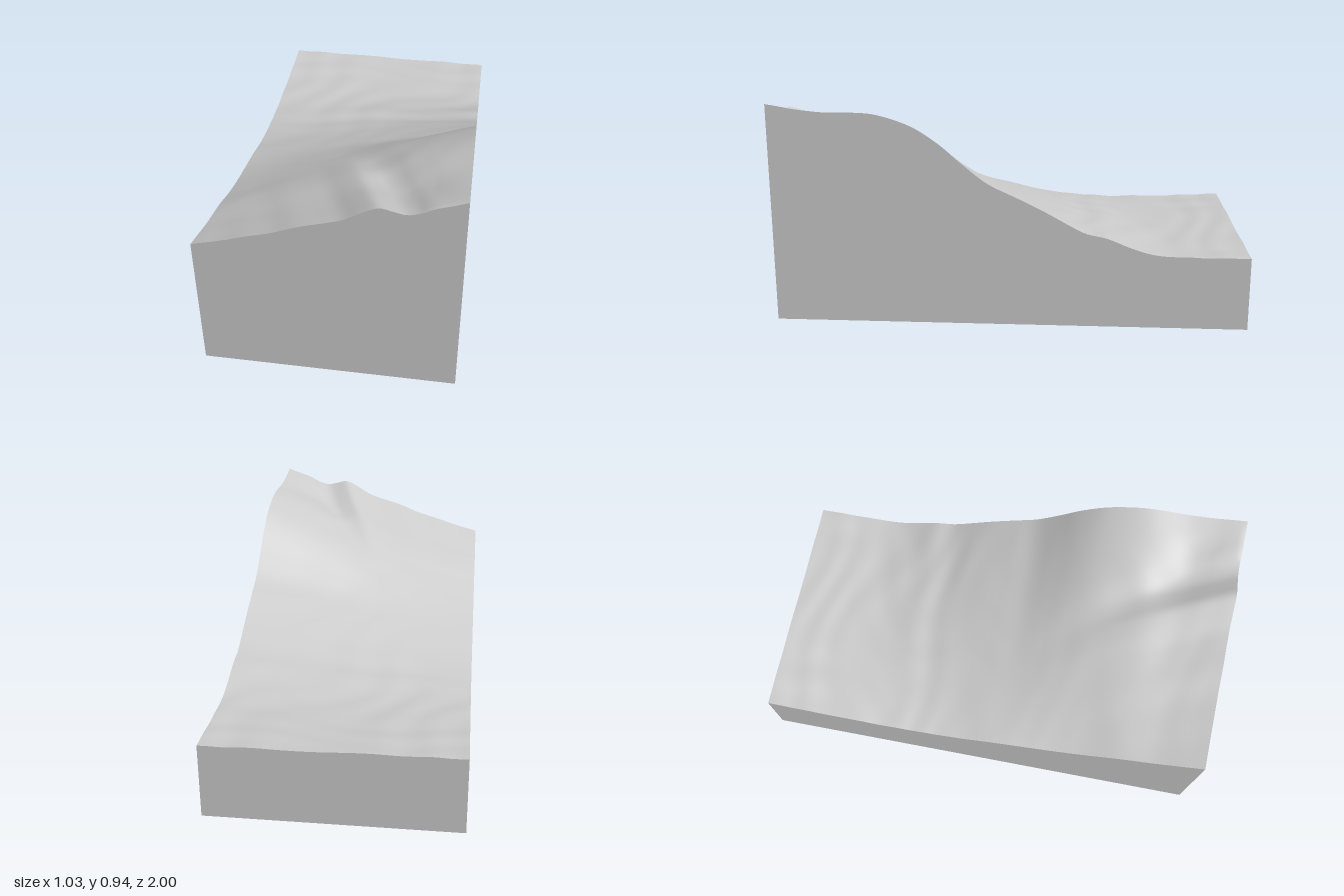
import * as THREE from 'three';

const W = 1.034, D = 2;

// Smooth height along an edge through [position, height] points (cubic Hermite)
function profile(pts) {
  const slope = i => {
    const a = pts[Math.max(i - 1, 0)], b = pts[Math.min(i + 1, pts.length - 1)];
    return (b[1] - a[1]) / (b[0] - a[0]);
  };
  return p => {
    let i = 0;
    while (i < pts.length - 2 && p > pts[i + 1][0]) i++;
    const [p0, h0] = pts[i], [p1, h1] = pts[i + 1];
    const d = p1 - p0, t = THREE.MathUtils.clamp((p - p0) / d, 0, 1);
    const t2 = t * t, t3 = t2 * t;
    return h0 * (2 * t3 - 3 * t2 + 1) + slope(i) * d * (t3 - 2 * t2 + t)
      + h1 * (3 * t2 - 2 * t3) + slope(i + 1) * d * (t3 - t2);
  };
}

// Slope along the high side (+x) and the low side (-x), running back to front
const highSide = profile([[-1, 0.312], [-0.7, 0.312], [-0.6, 0.324], [-0.5, 0.35], [-0.4, 0.388],
  [-0.3, 0.415], [-0.2, 0.47], [-0.1, 0.522], [0, 0.57], [0.1, 0.62], [0.2, 0.7], [0.3, 0.785],
  [0.4, 0.848], [0.5, 0.885], [0.6, 0.902], [0.8, 0.906], [1, 0.935]]);
const lowSide = profile([[-1, 0.32], [-0.6, 0.303], [-0.33, 0.305], [-0.12, 0.326], [0.09, 0.373],
  [0.33, 0.42], [0.47, 0.455], [0.63, 0.51], [0.79, 0.55], [1, 0.615]]);

// Knoll and dip of the front edge, measured from its straight line
const knoll = profile([[-0.52, 0], [-0.4, -0.004], [-0.3, -0.003], [-0.2, -0.003], [-0.1, 0.007],
  [0, 0.006], [0.07, 0.008], [0.14, 0.028], [0.2, 0.037], [0.25, 0.012], [0.3, -0.013],
  [0.35, -0.016], [0.4, -0.006], [0.46, -0.003], [0.52, 0]]);

// Course of the shallow gully: [x, z, depth]
const gully = [[0.42, 0.84, 0.006], [0.31, 0.8, 0.012], [0.21, 0.7, 0.014], [0.12, 0.55, 0.013],
  [0.03, 0.42, 0.009], [-0.03, 0.3, 0.007]];

function height(x, z) {
  const t = x / W + 0.5;
  let h = THREE.MathUtils.lerp(lowSide(z), highSide(z), t);
  // the knoll drifts sideways and fades up to mid slope
  const fade = THREE.MathUtils.smoothstep(z, 0.25, 1);
  h += knoll(x + 0.35 * (1 - z)) * fade * (z < 1 ? Math.min(1, (1 - t) * 6) : 1);
  const inside = Math.min(1, (1 - t) * 8, t * 8, (1 - z) * 8);
  for (const [gx, gz, depth] of gully) {
    h -= inside * depth * Math.exp(-((x - gx) ** 2 + (z - gz) ** 2) / 0.008);
  }
  // fine oblique ripples, strongest on the low ground
  const low = 1 - THREE.MathUtils.smoothstep(z, -0.6, 0.1);
  h += (0.0008 + 0.0022 * low) * Math.sin(9 * x + 24 * z + 2 * Math.sin(7 * x - 3 * z))
    * Math.sin(13 * x - 8 * z + 1.5 * Math.sin(11 * z));
  return h;
}

export function createModel() {
  const group = new THREE.Group();
  group.name = 'terrainBlock';

  // Solid block whose upper corners follow the ground height
  const geometry = new THREE.BoxGeometry(W, 1, D, 80, 1, 150);
  const pos = geometry.attributes.position;
  for (let i = 0; i < pos.count; i++) {
    pos.setY(i, pos.getY(i) > 0 ? height(pos.getX(i), pos.getZ(i)) : 0);
  }
  // each box side keeps its own vertices: smooth ground, sharp rims
  geometry.computeVertexNormals();

  const terrain = new THREE.Mesh(geometry, new THREE.MeshStandardMaterial({ color: 0xcccccc }));
  terrain.name = 'hillsideTerrain';
  group.add(terrain);
  return group;
}
